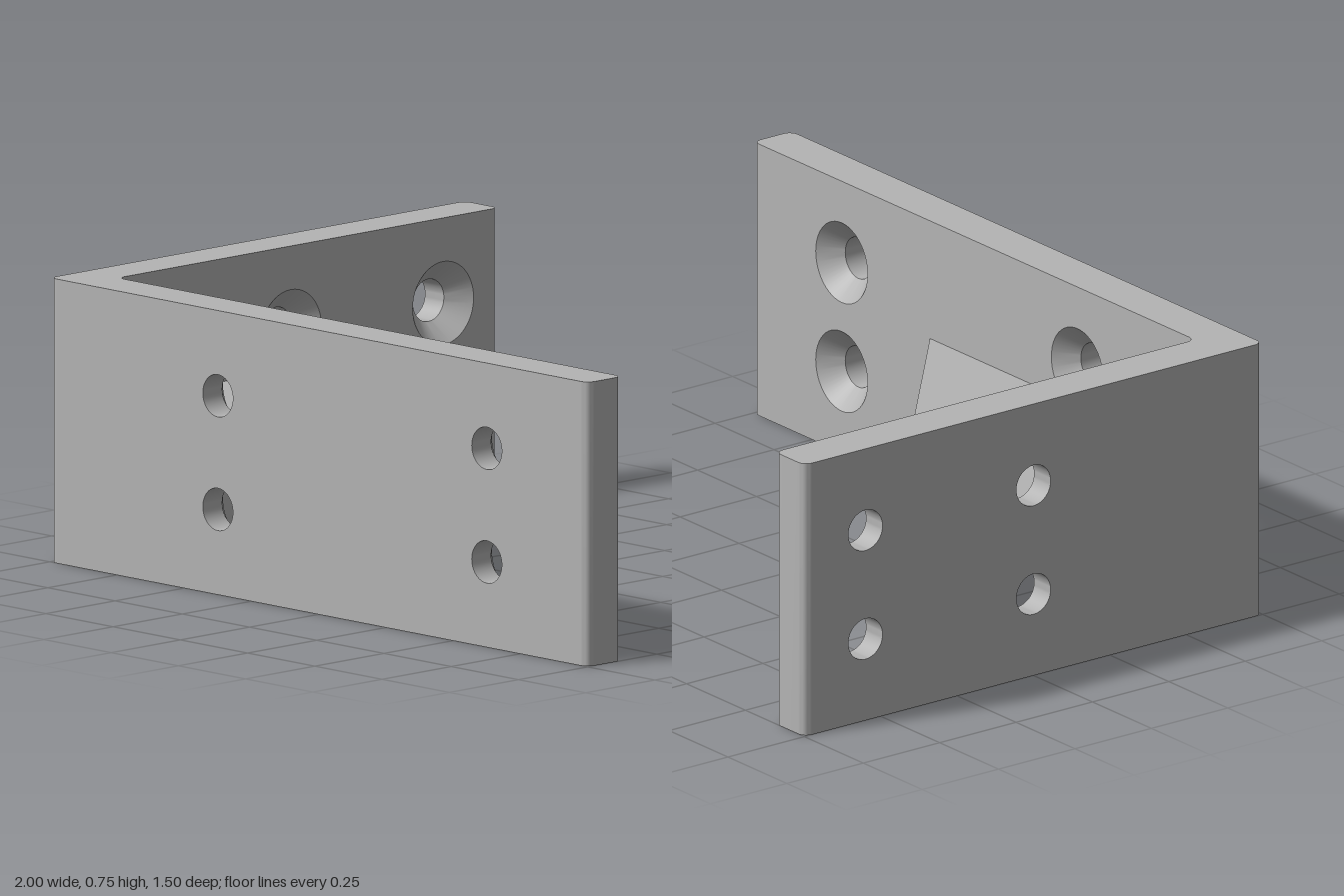
import * as THREE from 'three';
import { toCreasedNormals } from 'three/addons/utils/BufferGeometryUtils.js';

const H = 0.75;          // height of the bracket
const T = 0.125;         // plate thickness
const R = 0.025;         // edge rounding
const HOLE = 0.056, SINK = 0.11, SINK_DEPTH = 0.055;
const ROWS = [0.225, 0.525];   // hole heights
const V2 = (x, y) => new THREE.Vector2(x, y);

// Plan of the L, counter-clockwise, as (x, -z)
const corners = [V2(-1, -0.75), V2(1, -0.75), V2(1, -0.75 + T),
  V2(-1 + T, -0.75 + T), V2(-1 + T, 0.75), V2(-1, 0.75)];

// Replace every corner by a tangent arc
function roundedOutline(pts, r, steps = 6) {
  const out = [];
  pts.forEach((p, i) => {
    const a = pts[(i + pts.length - 1) % pts.length].clone().sub(p).normalize();
    const b = pts[(i + 1) % pts.length].clone().sub(p).normalize();
    const centre = p.clone().addScaledVector(a, r).addScaledVector(b, r);
    for (let k = 0; k <= steps; k++) {
      const t = (k / steps) * Math.PI / 2;
      out.push(centre.clone().addScaledVector(b, -r * Math.cos(t)).addScaledVector(a, -r * Math.sin(t)));
    }
  });
  return out;
}

// Frame on a wall: x along the wall, y up, z outward
function wallFrame(p, q) {
  const d = q.clone().sub(p).normalize();
  const x = new THREE.Vector3(d.x, 0, -d.y), y = new THREE.Vector3(0, 1, 0);
  return new THREE.Matrix4().makeBasis(x, y, x.clone().cross(y)).setPosition(p.x, 0, -p.y);
}

// Flat wall from p to q pierced by round holes at the given plan points
function piercedWall(p, q, centres, radius) {
  const len = p.distanceTo(q), d = q.clone().sub(p).normalize();
  const shape = new THREE.Shape([V2(0, 0), V2(len, 0), V2(len, H), V2(0, H)]);
  for (const c of centres) for (const y of ROWS) {
    const path = new THREE.Path();
    path.absarc(c.clone().sub(p).dot(d), y, radius, 0, Math.PI * 2, true);
    shape.holes.push(path);
  }
  return new THREE.ShapeGeometry(shape, 24).applyMatrix4(wallFrame(p, q));
}

// Vertical strip through a run of plan points
function strip(run) {
  const pos = [], index = [];
  run.forEach((p, i) => {
    pos.push(p.x, 0, -p.y, p.x, H, -p.y);
    const a = 2 * i;
    if (i < run.length - 1) index.push(a, a + 2, a + 3, a, a + 3, a + 1);
  });
  const g = new THREE.BufferGeometry();
  g.setAttribute('position', new THREE.Float32BufferAttribute(pos, 3));
  g.setIndex(index);
  return toCreasedNormals(g, 0.6);
}

export function createModel() {
  const group = new THREE.Group();
  const steel = new THREE.MeshStandardMaterial({ color: 0xb4b4b4 });
  steel.name = 'grey steel';
  const add = (geometry, name) => {
    const mesh = new THREE.Mesh(geometry, steel);
    mesh.name = name;
    group.add(mesh);
    return mesh;
  };

  const outline = roundedOutline(corners, R);
  const longHoles = [V2(-0.375, 0), V2(0.625, 0)];
  const shortHoles = [V2(0, 0), V2(0, 0.55)];

  // The long straight walls, in outline order
  const walls = [
    ['longPlateOuterFace', longHoles, HOLE],
    ['longPlateInnerFace', longHoles, SINK],
    ['shortPlateInnerFace', shortHoles, SINK],
    ['shortPlateOuterFace', shortHoles, HOLE],
  ];

  // Walk round the outline: pierced walls on long edges, rounded strips between
  let run = [], n = 0;
  const runs = [];
  outline.forEach((p, i) => {
    const q = outline[(i + 1) % outline.length];
    run.push(p);
    if (p.distanceTo(q) > 1) {
      const [name, centres, radius] = walls[n++];
      add(piercedWall(p, q, centres, radius), name);
      runs.push(run);
      run = [];
    }
  });
  runs.forEach((r) => add(strip(r), 'roundedEdge'));

  // Top and bottom faces of the L
  const plan = new THREE.Shape(outline);
  add(new THREE.ShapeGeometry(plan).rotateX(-Math.PI / 2).translate(0, H, 0), 'topFace');
  const bottom = new THREE.Shape(outline.map((p) => V2(p.x, -p.y)));
  add(new THREE.ShapeGeometry(bottom).rotateX(Math.PI / 2), 'bottomFace');

  // Countersunk bores, open toward the inside of the L
  const bore = toCreasedNormals(new THREE.LatheGeometry(
    [V2(SINK, 0), V2(HOLE, -SINK_DEPTH), V2(HOLE, -T)], 48), 0.5);
  for (const y of ROWS) {
    for (const c of longHoles) {
      const m = add(bore, 'longPlateBore');
      m.rotation.x = -Math.PI / 2;
      m.position.set(c.x, y, 0.75 - T);
    }
    for (const c of shortHoles) {
      const m = add(bore, 'shortPlateBore');
      m.rotation.z = -Math.PI / 2;
      m.position.set(-1 + T, y, -c.y);
    }
  }

  // Triangular rib bracing the two plates
  const rib = new THREE.Shape([V2(-0.875, -0.625), V2(0.25, -0.625), V2(-0.875, 0.375)]);
  add(new THREE.ExtrudeGeometry(rib, { depth: 0.1, bevelEnabled: false })
    .rotateX(-Math.PI / 2).translate(0, 0.325, 0), 'rib');

  return group;
}
